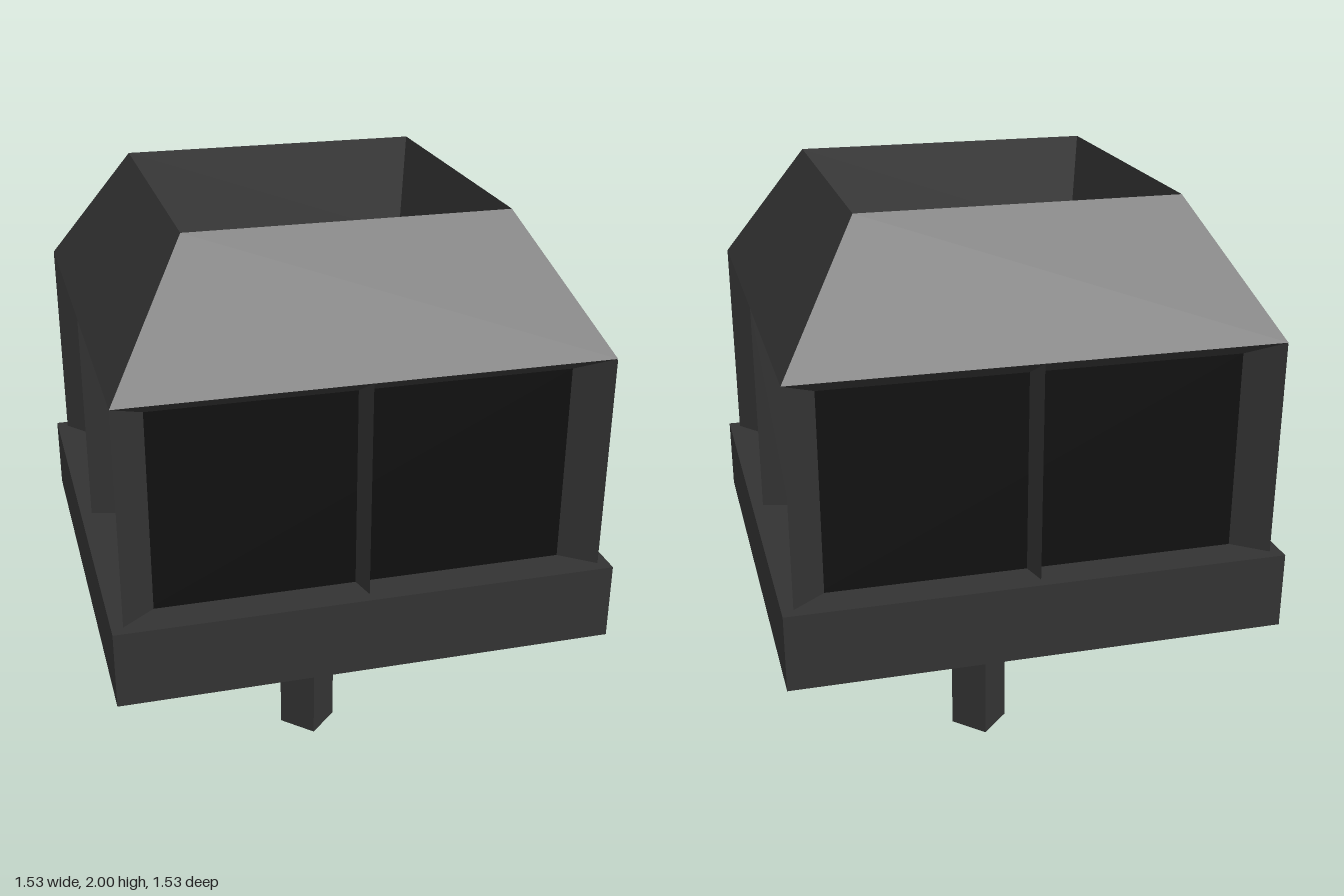
import * as THREE from 'three';

const frameMat = new THREE.MeshStandardMaterial({ color: 0x333333 });
frameMat.name = 'charcoal frame';
const glassMat = new THREE.MeshStandardMaterial({ color: 0x0e0e0e });
glassMat.name = 'black glass';
const redMat = new THREE.MeshStandardMaterial({ color: 0xdd0d0d });
redMat.name = 'red';

const BASE_TOP = 0.94, GLASS = 0.65, EAVE = 0.73, EAVE_Y = 1.61, LINTEL_Y = 1.56;

function part(parent, name, geometry, material) {
  const mesh = new THREE.Mesh(geometry, material);
  mesh.name = name;
  parent.add(mesh);
  return mesh;
}

// Box standing on y0
function box(width, y0, y1) {
  return new THREE.BoxGeometry(width, y1 - y0, width).translate(0, (y0 + y1) / 2, 0);
}

// Square ring swept from [half width, y] pairs, with flat faces
function squareLathe(profile) {
  const points = profile.map(([half, y]) => new THREE.Vector2(half * Math.SQRT2, y));
  const geometry = new THREE.LatheGeometry(points, 4, Math.PI / 4).toNonIndexed();
  geometry.computeVertexNormals();
  return geometry;
}

// Upright prism from [x, z] corners
function prism(corners, y0, y1) {
  const shape = new THREE.Shape(corners.map(([x, z]) => new THREE.Vector2(x, -z)));
  return new THREE.ExtrudeGeometry(shape, { depth: y1 - y0, bevelEnabled: false })
    .rotateX(-Math.PI / 2).translate(0, y0, 0);
}

export function createModel() {
  const model = new THREE.Group();
  model.name = 'lantern';

  // Square stem turned corner-on, and the wide plinth
  const stem = part(model, 'stem', box(0.098 * Math.SQRT2, 0, 0.7), frameMat);
  stem.rotation.y = Math.PI / 4;
  part(model, 'plinth', box(1.53, 0.7, BASE_TOP), frameMat);

  // Dark glazed body
  part(model, 'glass', box(GLASS * 2, BASE_TOP, LINTEL_Y + 0.01), glassMat);

  // Wedge-shaped mullion and corner fin, repeated on all four sides
  const mullion = prism([[-0.02, GLASS], [0.02, GLASS], [0, EAVE]], BASE_TOP, EAVE_Y - 0.002);
  const fin = prism([[GLASS - 0.02, GLASS], [GLASS, GLASS - 0.02], [EAVE, EAVE]], BASE_TOP, EAVE_Y - 0.002);
  for (let i = 0; i < 4; i++) {
    const side = new THREE.Group();
    side.name = 'sideFrame';
    side.rotation.y = i * Math.PI / 2;
    part(side, 'mullion', mullion, frameMat);
    part(side, 'cornerPost', fin, frameMat);
    model.add(side);
  }

  // Sloped lintel, hipped roof and the walls of its open well
  part(model, 'roof', squareLathe([
    [GLASS, LINTEL_Y], [EAVE, EAVE_Y], [0.48, 2], [0.455, 1.67],
  ]), frameMat);

  // Red floor inside the roof well
  part(model, 'wellFloor', box(0.91, 1.662, 1.67), redMat);

  return model;
}
